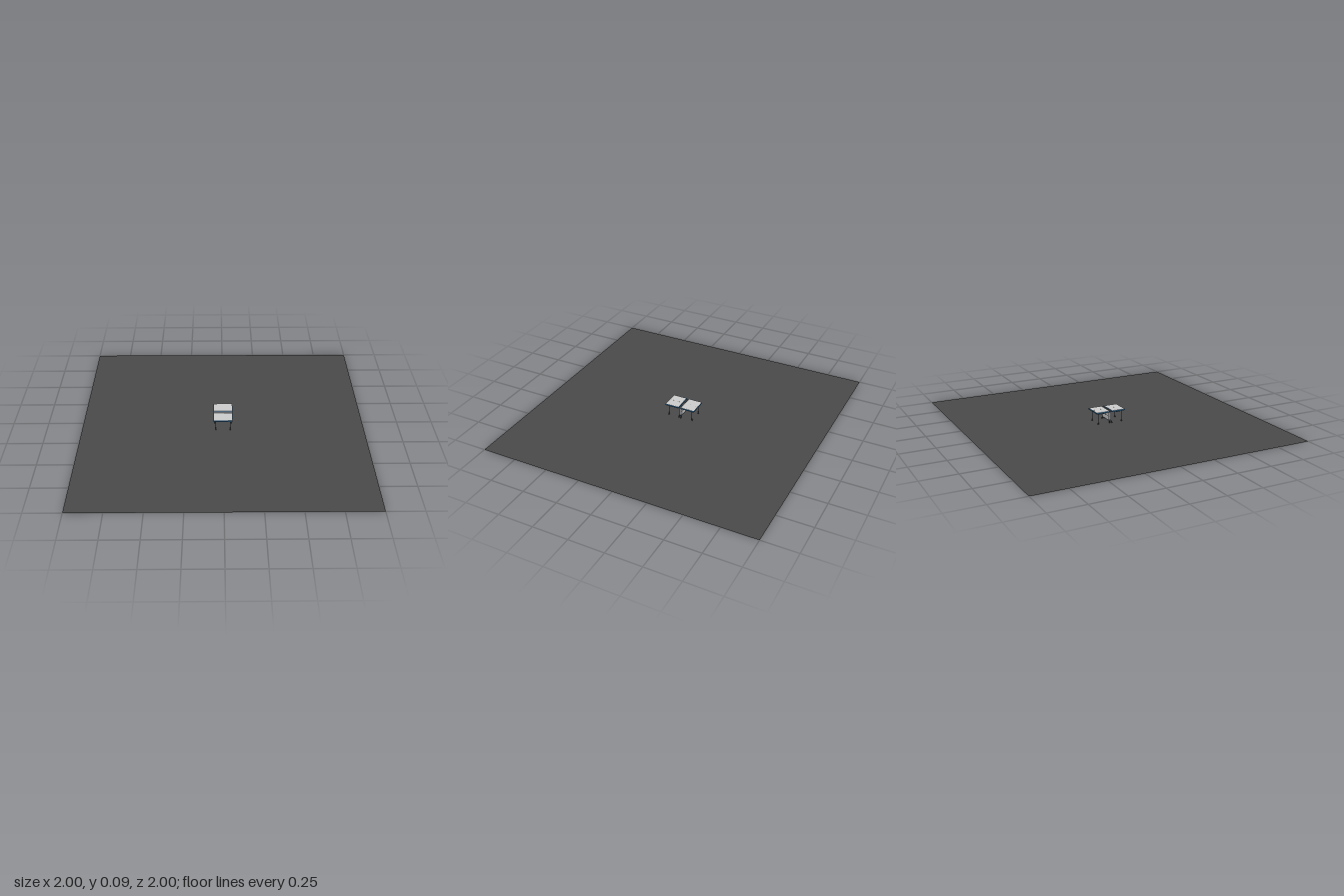
import * as THREE from 'three';

const mat = (name, color, side = THREE.FrontSide) => {
  const m = new THREE.MeshStandardMaterial({ color, side });
  m.name = name;
  return m;
};

export function createModel() {
  const floorGrey = mat('floorGrey', 0x4a4a4a, THREE.DoubleSide);
  const paleGrey = mat('paleGrey', 0xcccccc);
  const blue = mat('blue', 0x2c628c);
  const darkSteel = mat('darkSteel', 0x30363e);
  const midGrey = mat('midGrey', 0x85888c);

  const model = new THREE.Group();
  model.name = 'tableOnFloor';

  const add = (name, geometry, material, x, y, z, parent = model) => {
    const mesh = new THREE.Mesh(geometry, material);
    mesh.name = name;
    mesh.position.set(x, y, z);
    parent.add(mesh);
    return mesh;
  };
  const box = (name, w, h, d, material, x, y, z, parent) =>
    add(name, new THREE.BoxGeometry(w, h, d), material, x, y, z, parent);

  // Straight round bar between two points
  const bar = (name, a, b, r, material, parent) => {
    const p = new THREE.Vector3(...a), q = new THREE.Vector3(...b);
    const mid = p.clone().add(q).multiplyScalar(0.5);
    const mesh = add(name, new THREE.CylinderGeometry(r, r, p.distanceTo(q), 8),
      material, mid.x, mid.y, mid.z, parent);
    mesh.quaternion.setFromUnitVectors(new THREE.Vector3(0, 1, 0), q.sub(p).normalize());
  };

  // Wide floor sheet
  add('floor', new THREE.PlaneGeometry(2, 2).rotateX(-Math.PI / 2), floorGrey, 0, 0, 0);

  // The two table halves mirror each other about the net
  for (const s of [1, -1]) {
    const half = new THREE.Group();
    half.name = s > 0 ? 'frontHalf' : 'backHalf';
    model.add(half);

    // Blue slab, pale playing surface in two courts
    box('tabletop', 0.136, 0.009, 0.103, blue, 0, 0.0865, s * 0.0605, half);
    for (const x of [-1, 1])
      box('playingSurface', 0.0645, 0.001, 0.1, paleGrey, x * 0.0326, 0.0915, s * 0.0605, half);
    box('centreLine', 0.0007, 0.0008, 0.1, midGrey, 0, 0.0914, s * 0.0605, half);

    // Pale safety panels on the centre frame
    for (const y of [0.0335, 0.0625])
      box('panel', 0.098, 0.027, 0.002, paleGrey, 0, y, s * 0.008, half);
    box('panelRail', 0.1, 0.002, 0.0025, darkSteel, 0, 0.048, s * 0.008, half);
    box('latch', 0.006, 0.006, 0.002, darkSteel, 0, 0.052, s * 0.0098, half);

    // Crossbar joining the end legs
    bar('legCrossbar', [-0.05, 0.079, s * 0.09], [0.05, 0.079, s * 0.09], 0.0015, darkSteel, half);

    for (const x of [-1, 1]) {
      // End leg, brace and foot
      bar('leg', [x * 0.051, 0.083, s * 0.09], [x * 0.051, 0.004, s * 0.09], 0.002, darkSteel, half);
      bar('brace', [x * 0.051, 0.07, s * 0.09], [x * 0.051, 0.073, s * 0.05], 0.0014, blue, half);
      box('foot', 0.008, 0.005, 0.007, darkSteel, x * 0.051, 0.0025, s * 0.092, half);

      // Splayed centre strut and castor
      bar('strut', [x * 0.05, 0.024, s * 0.006], [x * 0.06, 0.008, s * 0.008], 0.0022, darkSteel, half);
      const wheel = add('castor', new THREE.CylinderGeometry(0.005, 0.005, 0.004, 12),
        darkSteel, x * 0.06, 0.005, s * 0.008, half);
      wheel.rotation.z = Math.PI / 2;
    }
  }

  // Centre frame
  for (const x of [-1, 1])
    box('centrePost', 0.004, 0.07, 0.014, midGrey, x * 0.05, 0.051, 0);
  box('topRail', 0.104, 0.004, 0.012, darkSteel, 0, 0.08, 0);
  box('lowerRail', 0.108, 0.005, 0.012, blue, 0, 0.0175, 0);

  // Low net between the halves
  box('net', 0.136, 0.01, 0.002, midGrey, 0, 0.087, 0);

  return model;
}
